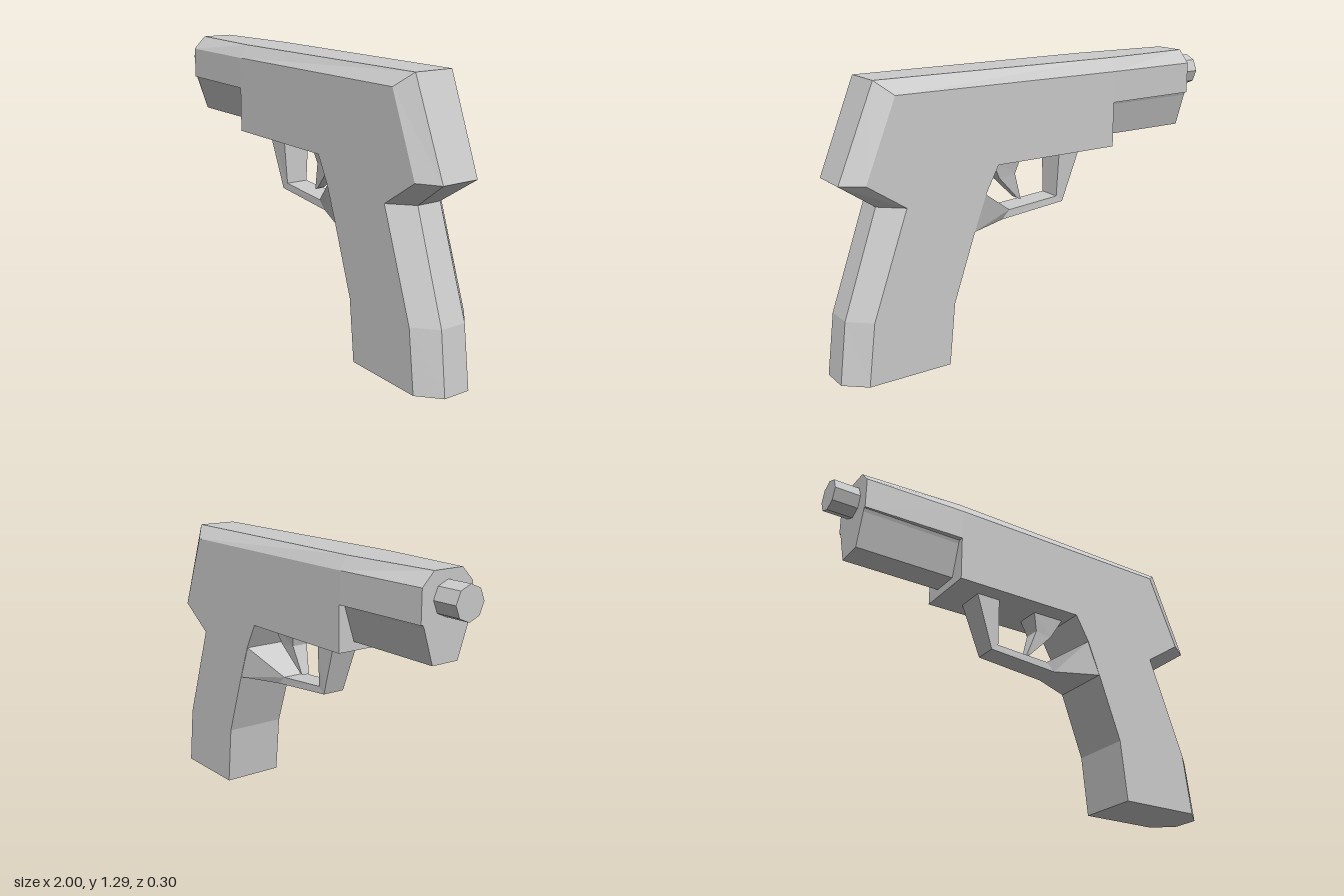
import * as THREE from 'three';

const material = new THREE.MeshStandardMaterial({ color: 0xcccccc, flatShading: true });

// Lofts mirrored cross-sections. Each section lists [x, y, halfWidth] points
// from its lower/front edge to its upper/rear edge; the -z half is mirrored.
function loft(name, sections) {
  const rings = sections.map((s) => [
    ...s.map(([x, y, w]) => new THREE.Vector3(x, y, w)),
    ...[...s].reverse().map(([x, y, w]) => new THREE.Vector3(x, y, -w)),
  ]);
  const points = [];
  const tri = (a, b, c) => {
    const area = b.clone().sub(a).cross(c.clone().sub(a)).length();
    if (area > 1e-7) points.push(a, b, c);
  };
  const n = rings[0].length;
  for (let k = 0; k < rings.length - 1; k++) {
    const a = rings[k], b = rings[k + 1];
    for (let i = 0; i < n; i++) {
      const j = (i + 1) % n;
      tri(a[i], b[i], b[j]);
      tri(a[i], b[j], a[j]);
    }
  }
  // End caps
  const first = rings[0], last = rings[rings.length - 1];
  for (let i = 1; i < n - 1; i++) {
    tri(first[0], first[i], first[i + 1]);
    tri(last[0], last[i + 1], last[i]);
  }
  const geometry = new THREE.BufferGeometry().setFromPoints(points);
  geometry.computeVertexNormals();
  const mesh = new THREE.Mesh(geometry, material);
  mesh.name = name;
  return mesh;
}

export function createModel() {
  const group = new THREE.Group();
  group.name = 'pistol';

  // Slide, frame and grip as one chamfered body, from the muzzle end to the grip base
  group.add(loft('body', [
    [[-0.88, 1.09, 0.135], [-0.88, 1.235, 0.135], [-0.88, 1.295, 0.075]],
    [[-0.4, 1.09, 0.15], [-0.4, 1.235, 0.15], [-0.4, 1.295, 0.11]],
    [[-0.4, 0.88, 0.15], [-0.4, 1.235, 0.15], [-0.4, 1.295, 0.11]],
    [[0.245, 0.88, 0.15], [0.735, 1.235, 0.15], [0.805, 1.295, 0.095]],
    [[0.31, 0.76, 0.15], [0.88, 0.88, 0.15], [0.975, 0.88, 0.09]],
    [[0.37, 0.6, 0.15], [0.7, 0.76, 0.15], [0.8, 0.76, 0.06]],
    [[0.48, 0.285, 0.15], [0.87, 0.285, 0.15], [0.965, 0.285, 0.063]],
    [[0.51, 0, 0.15], [0.905, 0, 0.15], [1, 0, 0.065]],
  ]));

  // Tapered block under the slide
  group.add(loft('underRail', [-0.88, -0.39].map((x) => [
    [x, 0.92, 0.068], [x, 1.075, 0.118], [x, 1.1, 0.13],
  ])));

  // Guard loop, flaring to the full grip width at the rear
  group.add(loft('triggerGuard', [
    [[-0.265, 0.885, 0.07], [-0.145, 0.885, 0.07]],
    [[-0.175, 0.625, 0.055], [-0.14, 0.655, 0.055]],
    [[0.17, 0.595, 0.06], [0.13, 0.635, 0.06]],
    [[0.372, 0.595, 0.148], [0.312, 0.757, 0.148]],
  ]));

  // Curved trigger tapering to its tip
  group.add(loft('trigger', [
    [[0.06, 0.885, 0.06], [0.225, 0.885, 0.06]],
    [[0.085, 0.795, 0.04], [0.17, 0.785, 0.04]],
    [[0.04, 0.66, 0.02], [0.06, 0.67, 0.02]],
  ]));

  // Eight-sided barrel tip
  const barrel = new THREE.Mesh(new THREE.CylinderGeometry(0.075, 0.075, 0.14, 8), material);
  barrel.name = 'barrel';
  barrel.rotation.z = Math.PI / 2;
  barrel.position.set(-0.93, 1.18, 0);
  group.add(barrel);

  return group;
}
